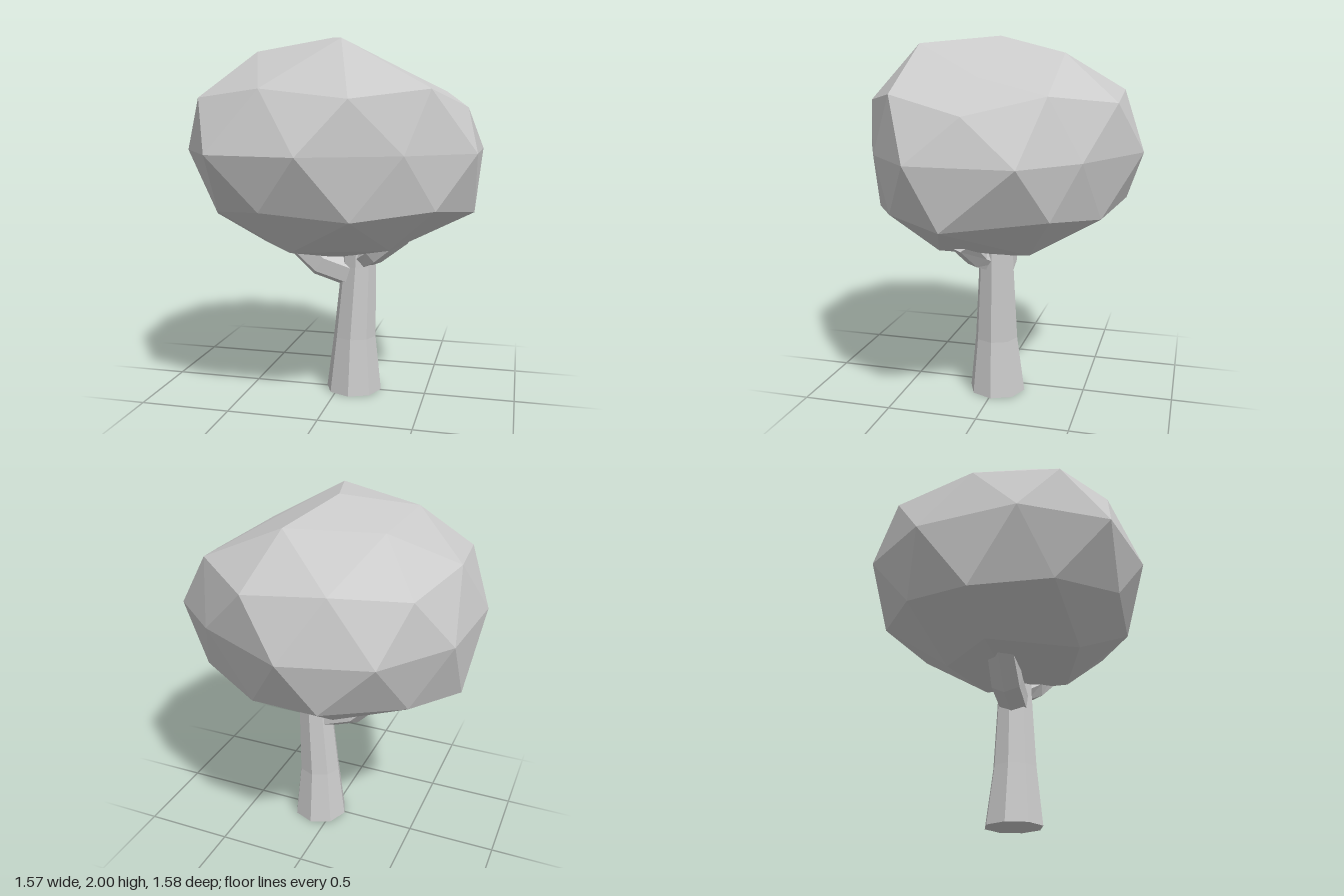
import * as THREE from 'three';

const material = new THREE.MeshStandardMaterial({ color: 0xcccccc, flatShading: true });

function facetedMesh(name, triangles) {
  const geometry = new THREE.BufferGeometry().setFromPoints(triangles);
  geometry.computeVertexNormals();
  const mesh = new THREE.Mesh(geometry, material);
  mesh.name = name;
  return mesh;
}

// Tapered limb through rings of [x, y, z, radius]; upright keeps rings level
function limb(name, rings, sides, upright) {
  const centers = rings.map(([x, y, z]) => new THREE.Vector3(x, y, z));
  const up = new THREE.Vector3(0, 1, 0);
  const loops = rings.map((ring, i) => {
    const ahead = centers[Math.min(i + 1, rings.length - 1)];
    const behind = centers[Math.max(i - 1, 0)];
    const axis = upright ? up : ahead.clone().sub(behind).normalize();
    const turn = new THREE.Quaternion().setFromUnitVectors(up, axis);
    return Array.from({ length: sides }, (_, k) => {
      const a = (k / sides) * Math.PI * 2;
      return new THREE.Vector3(Math.cos(a), 0, Math.sin(a))
        .multiplyScalar(ring[3]).applyQuaternion(turn).add(centers[i]);
    });
  });
  const tris = [];
  const last = loops.length - 1;
  for (let k = 0; k < sides; k++) {
    const n = (k + 1) % sides;
    for (let i = 0; i < last; i++) {
      const [a, b, c, d] = [loops[i][k], loops[i][n], loops[i + 1][n], loops[i + 1][k]];
      tris.push(a, d, c, a, c, b);
    }
    tris.push(centers[0], loops[0][k], loops[0][n]);
    tris.push(centers[last], loops[last][n], loops[last][k]);
  }
  return facetedMesh(name, tris);
}

// Corners of the crown that stray from the regular squashed sphere
const strayCorners = [
  [-0.03, 2, 0], [-0.01, 0.77, 0],
  [0.11, 1.96, 0.42], [0.11, 1.91, -0.38], [0.42, 1.79, 0],
  [-0.38, 1.91, 0.27], [-0.38, 1.91, -0.27],
  [0.71, 1.62, 0], [0.2, 1.66, 0.67], [-0.64, 1.67, 0.46], [-0.59, 1.67, -0.47],
  [0.56, 1.71, 0.42], [0.56, 1.71, -0.38], [-0.25, 1.71, 0.64], [-0.24, 1.71, -0.66],
  [0.78, 1.39, 0.27], [0.78, 1.39, -0.28], [0.45, 1.39, 0.56], [0.48, 1.39, -0.54],
  [-0.03, 1.39, 0.785], [-0.03, 1.39, -0.79], [-0.52, 1.39, 0.69], [-0.48, 1.39, -0.66],
  [-0.79, 1.39, 0.27], [-0.75, 1.39, -0.28],
  [0.76, 1.07, 0.1], [0.2, 1.07, 0.64], [0.2, 1.06, -0.6], [-0.57, 1.07, 0.4],
  [0.59, 1.11, 0.42], [0.57, 1.11, -0.4], [-0.25, 1.11, 0.67], [-0.2, 1.11, -0.69],
  [-0.74, 1, 0], [-0.45, 0.85, 0], [0.33, 0.87, 0.25], [-0.16, 0.87, 0.43], [-0.13, 0.87, -0.33],
].map((p) => new THREE.Vector3(...p));

// Icosahedron standing on a corner, split once, squashed and nudged
function crown() {
  const ring = (y, offset) => Array.from({ length: 5 }, (_, i) => {
    const a = ((i + offset) * Math.PI * 2) / 5;
    return new THREE.Vector3(Math.cos(a) * 0.8944, y, Math.sin(a) * 0.8944);
  });
  const upper = ring(0.4472, 0), lower = ring(-0.4472, 0.5);
  const top = new THREE.Vector3(0, 1, 0), bottom = new THREE.Vector3(0, -1, 0);
  const faces = [];
  for (let i = 0; i < 5; i++) {
    const n = (i + 1) % 5;
    faces.push([top, upper[n], upper[i]], [upper[i], upper[n], lower[i]],
      [lower[i], upper[n], lower[n]], [bottom, lower[i], lower[n]]);
  }
  const mid = (a, b) => a.clone().add(b).normalize();
  const place = (v) => {
    const p = new THREE.Vector3(v.x * 0.79 - 0.02, v.y * 0.61 + 1.39, v.z * 0.79);
    const near = strayCorners.reduce((a, b) => (b.distanceTo(p) < a.distanceTo(p) ? b : a));
    return near.distanceTo(p) < 0.18 ? near : p;
  };
  const tris = [];
  for (const [a, b, c] of faces) {
    const ab = mid(a, b), bc = mid(b, c), ca = mid(c, a);
    tris.push(...[a, ab, ca, ab, b, bc, ca, bc, c, ab, bc, ca].map(place));
  }
  return facetedMesh('crown', tris);
}

export function createModel() {
  const tree = new THREE.Group();
  tree.name = 'tree';
  tree.add(crown());
  tree.add(limb('trunk', [
    [0.085, 0, -0.01, 0.16], [0.09, 0.32, -0.005, 0.122],
    [0.112, 0.73, -0.01, 0.1], [0.12, 0.98, -0.01, 0.09],
  ], 8, true));
  tree.add(limb('rightBranch', [
    [0.09, 0.68, 0, 0.085], [-0.1, 0.745, 0.01, 0.09], [-0.3, 0.93, 0.03, 0.08],
  ], 6));
  tree.add(limb('leftBranch', [
    [0.13, 0.77, 0.02, 0.06], [0.21, 0.82, 0.07, 0.07], [0.36, 0.95, 0.11, 0.08],
  ], 6));
  return tree;
}
